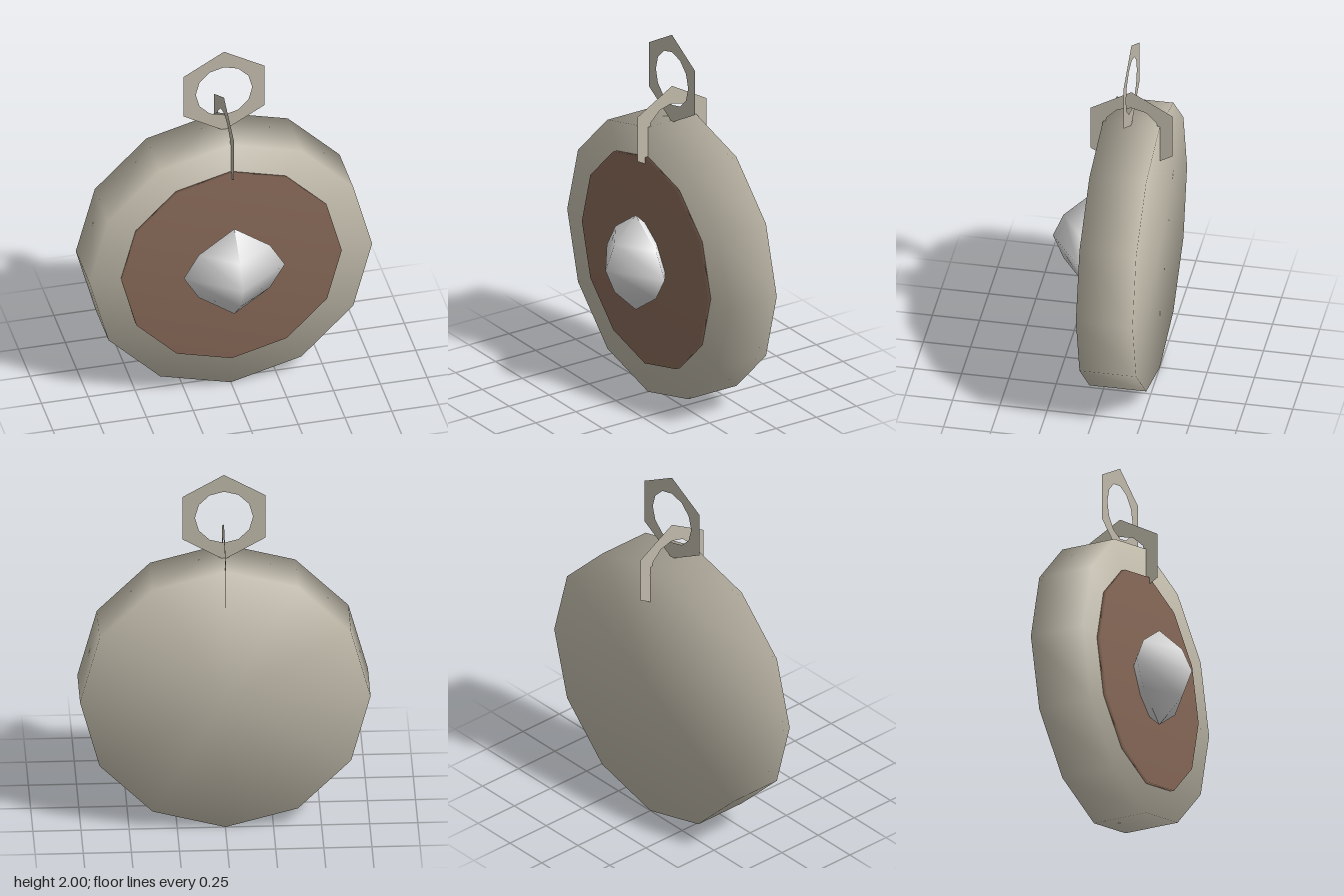
import * as THREE from 'three';
import { mergeVertices } from 'three/addons/utils/BufferGeometryUtils.js';

const CENTRE_Y = 0.755;

function material(name, color, side = THREE.FrontSide) {
  const m = new THREE.MeshStandardMaterial({ color, side });
  m.name = name;
  return m;
}

// Twelve-sided disc facing +z, with normals blended over its rim
function softDisc(radius, zBack, zFront) {
  let g = new THREE.CylinderGeometry(radius, radius, zFront - zBack, 12);
  g.deleteAttribute('uv');
  g.deleteAttribute('normal');
  g = mergeVertices(g, 1e-4);
  g.rotateX(Math.PI / 2);
  g.translate(0, CENTRE_Y, (zBack + zFront) / 2);
  g.computeVertexNormals();
  return g;
}

// Corners of a regular polygon with one corner at the top
function polygon(radius, sides) {
  return Array.from({ length: sides }, (_, i) => {
    const a = (i / sides) * Math.PI * 2;
    return new THREE.Vector2(Math.sin(a) * radius, Math.cos(a) * radius);
  });
}

export function createModel() {
  const group = new THREE.Group();
  group.name = 'pendant';

  const metal = material('pale metal', 0xc0baaa, THREE.DoubleSide);
  const inlay = material('brown inlay', 0x866857);
  const crystal = material('white crystal', 0xdadada);

  const add = (name, geometry, mat) => {
    const mesh = new THREE.Mesh(geometry, mat);
    mesh.name = name;
    group.add(mesh);
    return mesh;
  };

  // Medallion and the thin plate on its front
  add('medallion', softDisc(0.755, -0.25, 0.05), metal);
  add('inlayPlate', softDisc(0.588, 0.04, 0.07), inlay);

  // Four-sided gem, flattened towards the plate
  const profile = [[0, -0.27], [0.19, -0.135], [0.27, 0], [0.19, 0.135], [0, 0.27]]
    .map(([r, y]) => new THREE.Vector2(r, y));
  const gem = add('gem', new THREE.LatheGeometry(profile, 4), crystal);
  gem.scale.z = 0.7;
  gem.position.set(0, CENTRE_Y + 0.003, 0.126);

  // Two linked flat hexagonal links with round holes
  const linkShape = new THREE.Shape(polygon(0.25, 6));
  linkShape.holes.push(new THREE.Path(polygon(0.151, 12).reverse()));
  const linkGeometry = new THREE.ShapeGeometry(linkShape);
  const upper = add('upperLink', linkGeometry, metal);
  upper.position.set(0, 1.75, -0.1);
  const lower = add('lowerLink', linkGeometry, metal);
  lower.position.set(0, 1.458, -0.1);
  lower.rotation.y = Math.PI / 2;

  return group;
}
